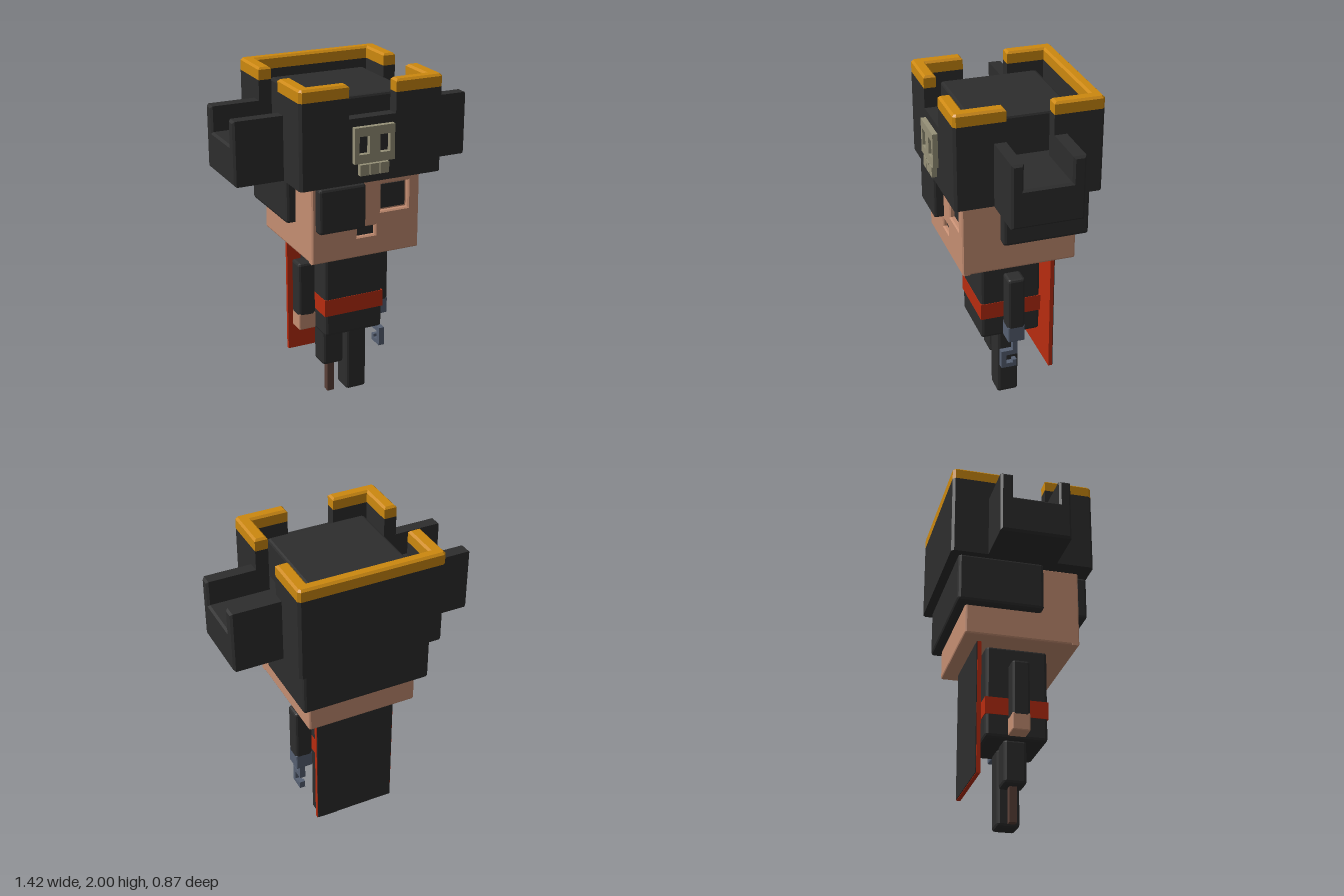
import * as THREE from 'three';
import { RoundedBoxGeometry } from 'three/addons/geometries/RoundedBoxGeometry.js';

export function createModel() {
  const root = new THREE.Group();
  root.name = 'pirate';
  const mat = (name, color) => {
    const m = new THREE.MeshStandardMaterial({ color });
    m.name = name;
    return m;
  };
  const black = mat('black cloth', 0x2d2d2d);
  const gold = mat('gold trim', 0xcc880f);
  const skin = mat('skin', 0xc58e72);
  const red = mat('red cloth', 0xb82c10);
  const bone = mat('bone', 0x969178);
  const steel = mat('steel', 0x566072);
  const wood = mat('wood', 0x5a4038);

  const add = (name, geometry, material, parent = root) => {
    const mesh = new THREE.Mesh(geometry, material);
    mesh.name = name;
    parent.add(mesh);
    return mesh;
  };
  const group = (name) => {
    const g = new THREE.Group();
    g.name = name;
    root.add(g);
    return g;
  };
  // Box between two limits per axis, with an optional flat chamfer
  const box = (name, material, [x0, x1], [y0, y1], [z0, z1], bevel = 0, parent = root) => {
    const size = [x1 - x0, y1 - y0, z1 - z0];
    const geo = bevel ? new RoundedBoxGeometry(...size, 1, bevel) : new THREE.BoxGeometry(...size);
    if (bevel) geo.computeVertexNormals();
    geo.translate((x0 + x1) / 2, (y0 + y1) / 2, (z0 + z1) / 2);
    return add(name, geo, material, parent);
  };
  const polygon = (pts) => new THREE.Shape(pts.map(([x, y]) => new THREE.Vector2(x, y)));
  const rectPath = (x0, x1, y0, y1) => polygon([[x0, y0], [x1, y0], [x1, y1], [x0, y1]]);
  const extrude = (shape, depth, b = 0) => {
    const geo = new THREE.ExtrudeGeometry(shape, {
      depth: depth - 2 * b, bevelEnabled: b > 0, bevelSize: b, bevelThickness: b,
      bevelOffset: -b, bevelSegments: 1, steps: 1,
    });
    return geo.translate(0, 0, b);
  };
  // Floor plan given as (x, z), raised from y0 to y1
  const raise = (name, material, plan, y0, y1, b, parent) => {
    const geo = extrude(polygon(plan.map(([x, z]) => [x, -z])), y1 - y0, b);
    geo.rotateX(-Math.PI / 2).translate(0, y0, 0);
    return add(name, geo, material, parent);
  };

  // Head: solid block plus a front layer with eye and mouth openings
  const head = group('head');
  box('skull block', skin, [-0.33, 0.33], [0.99, 1.46], [-0.325, 0.31], 0.012, head);
  const face = rectPath(-0.33, 0.33, 0.99, 1.46);
  face.holes.push(rectPath(0.09, 0.26, 1.24, 1.4), rectPath(-0.055, 0.055, 1.11, 1.165));
  add('face', extrude(face, 0.05, 0.008).translate(0, 0, 0.29), skin, head);
  box('eye', black, [0.1, 0.25], [1.25, 1.39], [0.308, 0.316], 0, head);
  box('mouth', black, [-0.055, 0.055], [1.11, 1.165], [0.308, 0.316], 0, head);
  box('eyePatch', black, [-0.31, -0.03], [1.18, 1.44], [0.33, 0.398], 0.015, head);
  box('hair', black, [-0.385, 0.385], [1.165, 1.46], [-0.38, 0.12], 0.018, head);

  // Hat: base, raised rim with notches, gold edge
  const hat = group('hat');
  const X = 0.425, IX = 0.35, B = -0.43, IB = -0.365, F = 0.405, IF = 0.335, c = 0.015;
  raise('hatBase', black, [
    [-X, B + c], [-X + c, B], [X - c, B], [X, B + c],
    [X, F - c], [X - c, F], [-X + c, F], [-X, F - c],
  ], 1.45, 1.67, 0, hat);
  const backPlan = [
    [-X, -0.145], [-X, B + c], [-X + c, B], [X - c, B], [X, B + c], [X, -0.145],
    [IX, -0.145], [IX, IB], [-IX, IB], [-IX, -0.145],
  ];
  const cornerPlan = (s) => [
    [s * X, 0.12], [s * X, F - c], [s * (X - c), F], [s * 0.14, F],
    [s * 0.14, IF], [s * IX, IF], [s * IX, 0.12],
  ];
  for (const [name, plan] of [['back', backPlan], ['left', cornerPlan(1)], ['right', cornerPlan(-1)]]) {
    raise(name + 'Brim', black, plan, 1.67, 1.93, 0, hat);
    raise(name + 'BrimTrim', gold, plan, 1.918, 2, 0.012, hat);
  }
  box('frontBrim', black, [-0.14, 0.14], [1.67, 1.815], [IF, F], 0, hat);
  box('crown', black, [-0.295, 0.295], [1.65, 1.9], [-0.3, 0.27], 0.015, hat);

  // Channelled wings at both sides of the hat, profile as (-z, y)
  const wing = polygon([
    [-0.187, 1.45], [0.217, 1.45], [0.217, 1.815], [0.145, 1.815],
    [0.145, 1.67], [-0.12, 1.67], [-0.12, 1.815], [-0.187, 1.815],
  ]);
  for (const [name, x] of [['left', 0.4], ['right', -0.71]]) {
    add(name + 'Wing', extrude(wing, 0.31, 0.012).rotateY(Math.PI / 2).translate(x, 0, 0), black, hat);
  }

  // Bone emblem with eye openings and three teeth
  const emblem = rectPath(-0.12, 0.12, 1.57, 1.77);
  emblem.holes.push(rectPath(-0.092, -0.032, 1.62, 1.72), rectPath(0.032, 0.092, 1.62, 1.72));
  add('emblem', extrude(emblem, 0.035).translate(0, 0, 0.4), bone, hat);
  for (const x of [-0.06, 0, 0.06]) {
    box('emblemTooth', bone, [x - 0.027, x + 0.027], [1.5, 1.562], [0.4, 0.435], 0, hat);
  }

  // Torso and sash
  box('torso', black, [-0.183, 0.183], [0.45, 1.0], [-0.17, 0.19], 0.018);
  box('sash', red, [-0.186, 0.186], [0.583, 0.685], [-0.173, 0.193]);

  // Arms
  for (const s of [-1, 1]) {
    const span = [s * 0.237 - 0.053, s * 0.237 + 0.053];
    box(s > 0 ? 'leftArm' : 'rightArm', black, span, [0.54, 0.88], [-0.043, 0.06], 0.015);
    box(s > 0 ? 'hookCuff' : 'rightHand', s > 0 ? steel : skin, span, [0.46, 0.565], [-0.043, 0.06], 0.008);
  }

  // Hook, profile as (-z, y)
  const hook = polygon([
    [-0.02, 0.47], [-0.02, 0.38], [-0.09, 0.38], [-0.09, 0.265], [0.005, 0.265],
    [0.005, 0.31], [-0.02, 0.31], [-0.02, 0.292], [-0.06, 0.292], [-0.06, 0.35],
    [0.01, 0.35], [0.01, 0.47],
  ]);
  add('hook', extrude(hook, 0.035).rotateY(Math.PI / 2).translate(0.22, 0, 0), steel);

  // Legs and peg
  box('leftLeg', black, [0.008, 0.14], [0.005, 0.46], [-0.055, 0.078], 0.018);
  box('rightLeg', black, [-0.145, -0.012], [0.203, 0.46], [-0.055, 0.078], 0.018);
  box('pegLeg', wood, [-0.097, -0.055], [0, 0.22], [-0.01, 0.032]);

  // Cape, black on its back
  box('cape', red, [-0.245, 0.245], [0.21, 1.0], [-0.233, -0.21]);
  box('capeBack', black, [-0.242, 0.242], [0.213, 1.0], [-0.237, -0.232]);

  return root;
}
